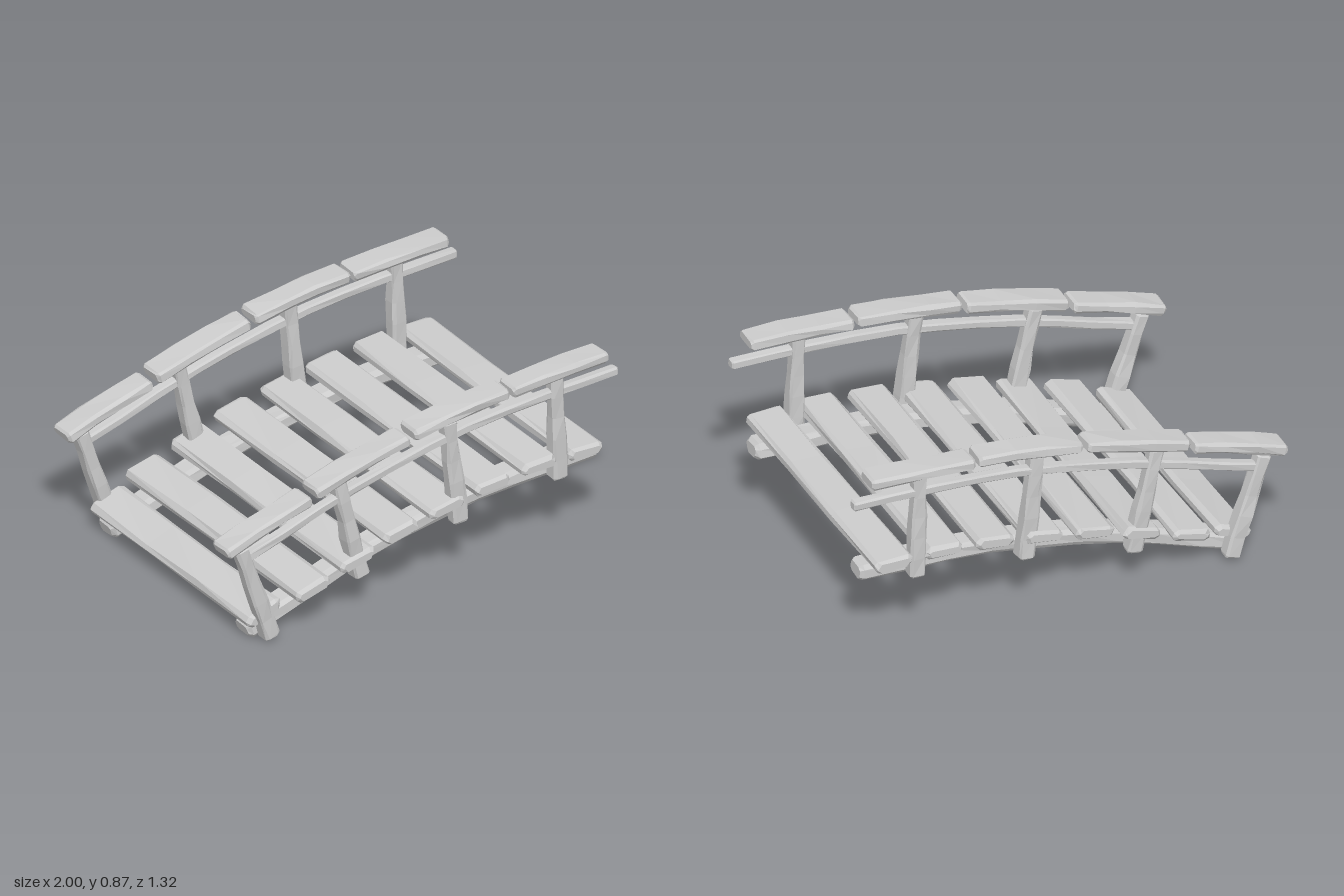
import * as THREE from 'three';

const material = new THREE.MeshStandardMaterial({ color: 0xcccccc, flatShading: true });

// Small seeded generator for hand-hewn irregularity
let seed = 7;
const jitter = (a) => {
  seed = (seed * 16807) % 2147483647;
  return (seed / 2147483647 - 0.5) * 2 * a;
};

// Rough-hewn timber: a chamfered section swept along a path in the xy plane.
// height lies in the plane, width along z; scaleAt varies the section along t.
function timber(name, path, height, width, { steps = 4, bevel = 0.015, rough = 0.004, scaleAt = () => 1 } = {}) {
  const curve = new THREE.CatmullRomCurve3(path.map(([x, y]) => new THREE.Vector3(x, y, 0)));
  const e = bevel / curve.getLength();
  const stations = [0, e];
  for (let i = 1; i < steps; i++) stations.push(i / steps + jitter(0.06 / steps));
  stations.push(1 - e, 1);

  const rings = stations.map((t) => {
    const p = curve.getPointAt(t);
    const T = curve.getTangentAt(t);
    const end = t === 0 || t === 1;
    const inset = end ? bevel * 0.7 : 0;
    const k = scaleAt(t);
    const h = (height * k) / 2 - inset;
    const w = (width * k) / 2 - inset;
    const c = bevel * (end ? 0.8 : 1);
    const section = [[h, -w + c], [h, w - c], [h - c, w], [-h + c, w], [-h, w - c], [-h, -w + c], [-h + c, -w], [h - c, -w]];
    return section.map(([n, z]) => {
      const a = n + jitter(rough);
      return [p.x - T.y * a, p.y + T.x * a, z + jitter(rough)];
    });
  });

  const pos = [];
  const tri = (a, b, c) => pos.push(...a, ...b, ...c);
  for (let i = 0; i < rings.length - 1; i++) {
    for (let j = 0; j < 8; j++) {
      const k = (j + 1) % 8;
      tri(rings[i][j], rings[i][k], rings[i + 1][k]);
      tri(rings[i][j], rings[i + 1][k], rings[i + 1][j]);
    }
  }
  const first = rings[0];
  const last = rings[rings.length - 1];
  for (let j = 1; j < 7; j++) {
    tri(first[0], first[j + 1], first[j]);
    tri(last[0], last[j], last[j + 1]);
  }
  const geometry = new THREE.BufferGeometry();
  geometry.setAttribute('position', new THREE.Float32BufferAttribute(pos, 3));
  geometry.computeVertexNormals();
  const mesh = new THREE.Mesh(geometry, material);
  mesh.name = name;
  return mesh;
}

export function createModel() {
  seed = 7;
  const bridge = new THREE.Group();
  bridge.name = 'halfArchFootbridge';

  // Deck planks: x, y, tilt, half length
  const planks = [
    [-0.765, 0.135, 0.35, 0.6], [-0.553, 0.204, 0.27, 0.65], [-0.325, 0.275, 0.26, 0.65], [-0.108, 0.339, 0.2, 0.65],
    [0.126, 0.385, 0.18, 0.65], [0.354, 0.42, 0.1, 0.65], [0.59, 0.44, 0.06, 0.65], [0.825, 0.438, -0.01, 0.65],
  ];
  const deck = new THREE.Group();
  deck.name = 'deck';
  for (const [x, y, tilt, half] of planks) {
    const plank = timber('plank', [[-half, 0], [0, jitter(0.005)], [half, 0]], 0.056, 0.172, { steps: 3, bevel: 0.017, rough: 0.005 });
    plank.position.set(x, y, 0);
    plank.rotation.set(0, -Math.PI / 2, tilt, 'ZYX');
    deck.add(plank);
  }
  bridge.add(deck);

  const posts = [
    [[-0.745, 0.03], [-0.9, 0.5]],
    [[-0.295, 0.18], [-0.405, 0.665]],
    [[0.205, 0.285], [0.15, 0.785]],
    [[0.708, 0.335], [0.692, 0.83]],
  ];
  const handrails = [
    [[-0.99, 0.51], [-0.79, 0.578], [-0.565, 0.64]],
    [[-0.54, 0.658], [-0.3, 0.725], [-0.07, 0.775]],
    [[-0.045, 0.785], [0.19, 0.823], [0.433, 0.842]],
    [[0.452, 0.838], [0.69, 0.853], [0.93, 0.86]],
  ];

  for (const s of [1, -1]) {
    const side = new THREE.Group();
    side.name = s > 0 ? 'frontSide' : 'backSide';
    const add = (mesh, z) => {
      mesh.position.z = z * s;
      side.add(mesh);
    };

    // Curved beam carrying the deck
    add(timber('stringer', [[-0.825, 0.048], [-0.62, 0.115], [-0.3, 0.222], [0, 0.295], [0.35, 0.352], [0.945, 0.373]],
      0.078, 0.112, { steps: 9, bevel: 0.018 }), 0.512);

    // Leaning posts, thicker towards the foot
    for (const p of posts) {
      add(timber('post', p, 0.068, 0.068, { steps: 5, bevel: 0.01, scaleAt: (t) => (t < 0.5 ? 1.04 : 0.92) }), 0.6);
    }

    // Thin middle rail
    add(timber('middleRail', [[-0.87, 0.445], [-0.65, 0.51], [-0.4, 0.59], [0, 0.68], [0.25, 0.722], [0.6, 0.748], [1, 0.759]],
      0.04, 0.046, { steps: 10, bevel: 0.007, rough: 0.002 }), 0.602);

    // Segmented handrail
    for (const p of handrails) {
      add(timber('handrail', p, 0.052, 0.122, { steps: 3, bevel: 0.012 }), 0.597);
    }
    bridge.add(side);
  }
  return bridge;
}
